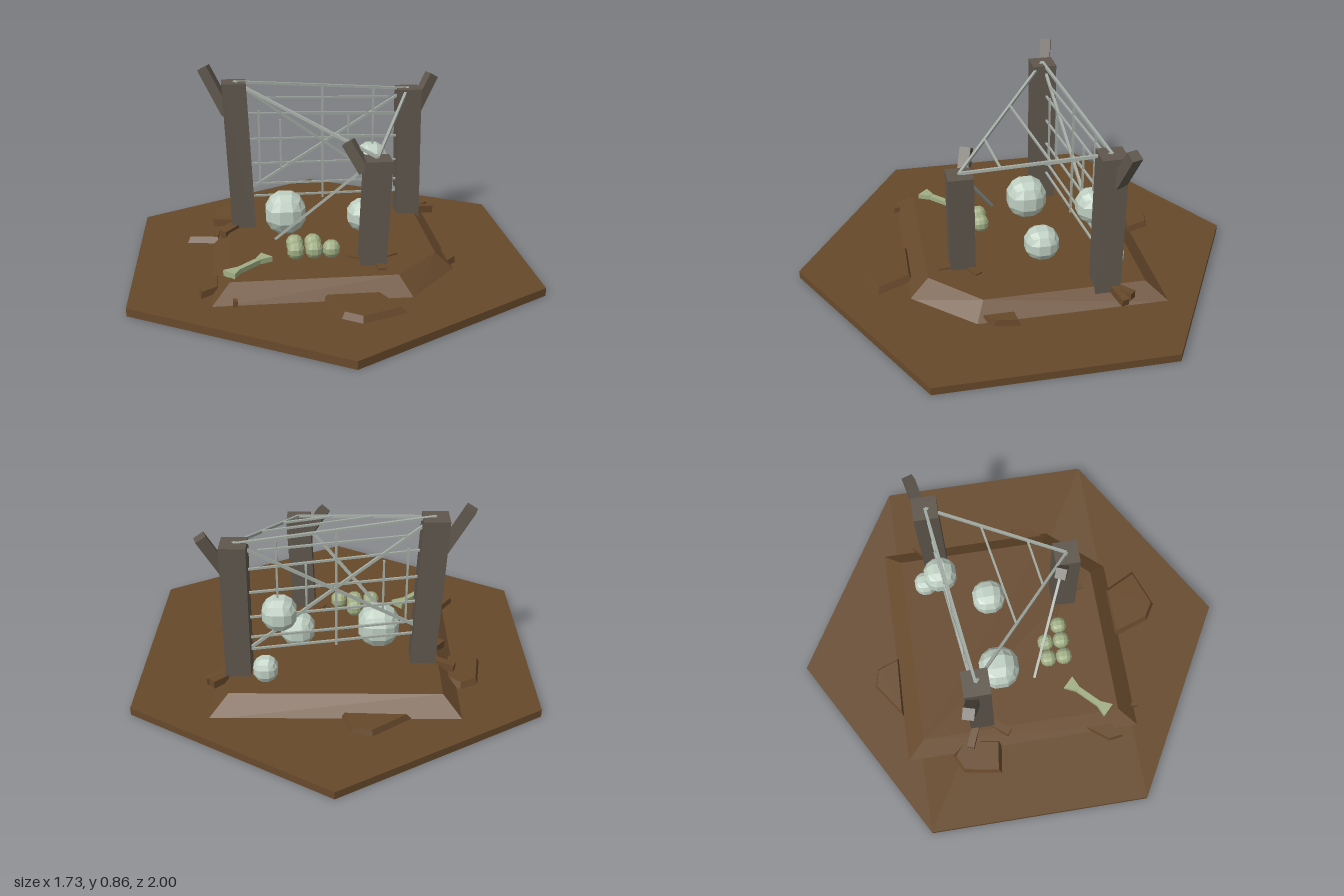
import * as THREE from 'three';
import { ConvexGeometry } from 'three/addons/geometries/ConvexGeometry.js';

const mat = (name, color) => {
  const m = new THREE.MeshStandardMaterial({ color });
  m.name = name;
  return m;
};
const V = (x, y, z) => new THREE.Vector3(x, y, z);

export function createModel() {
  const root = new THREE.Group();
  root.name = 'webbedNest';
  const soil = mat('soil brown', 0x67492b);
  const bark = mat('grey bark', 0x5f574d);
  const silk = mat('silk grey', 0xa3aca4);
  const shell = mat('pale egg', 0xbfcfc2);
  const moss = mat('pale green', 0xa0ae84);

  const add = (name, geo, material, parent = root) => {
    const m = new THREE.Mesh(geo, material);
    m.name = name;
    parent.add(m);
    return m;
  };
  const group = (name) => {
    const g = new THREE.Group();
    g.name = name;
    root.add(g);
    return g;
  };
  // Solid between a lower and an upper convex outline of [x, z] points
  const slab = (name, low, high, y0, y1, material, parent) =>
    add(name, new ConvexGeometry([
      ...low.map(([x, z]) => V(x, y0, z)),
      ...high.map(([x, z]) => V(x, y1, z)),
    ]), material, parent);
  // Square bar between two points
  const bar = (name, a, b, w, material, parent) => {
    const m = add(name, new THREE.BoxGeometry(w, w, a.distanceTo(b)), material, parent);
    m.position.copy(a).add(b).multiplyScalar(0.5);
    m.lookAt(b);
    return m;
  };

  // Ground plate and raised mound
  const hex = [...Array(6)].map((_, i) => [Math.sin(i * Math.PI / 3), Math.cos(i * Math.PI / 3)]);
  slab('groundPlate', hex, hex, 0, 0.035, soil);
  slab('mound',
    [[-0.53, -0.57], [0.53, -0.57], [0.53, 0.27], [0.3, 0.53], [-0.53, 0.53]],
    [[-0.45, -0.48], [0.45, -0.48], [0.45, 0.23], [0.25, 0.44], [-0.45, 0.44]],
    0.03, 0.1, soil);

  // Flat clods of earth around the mound
  const clods = group('clods');
  [
    [[-0.08, 0.5], [0.17, 0.5], [0.25, 0.66], [0.06, 0.73], [-0.02, 0.68]],
    [[-0.32, -0.56], [-0.15, -0.68], [-0.06, -0.66], [-0.02, -0.55]],
    [[-0.65, -0.14], [-0.62, -0.32], [-0.54, -0.36], [-0.47, -0.3], [-0.5, -0.12]],
    [[-0.58, 0.38], [-0.57, 0.45], [-0.5, 0.4], [-0.5, 0.27]],
    [[0.5, 0.1], [0.57, 0.09], [0.55, 0.2], [0.5, 0.25]],
    [[-0.44, 0.51], [-0.42, 0.51], [-0.42, 0.54], [-0.44, 0.54]],
  ].forEach((p) => {
    const cx = p.reduce((s, q) => s + q[0], 0) / p.length;
    const cz = p.reduce((s, q) => s + q[1], 0) / p.length;
    const top = p.map(([x, z]) => [cx + (x - cx) * 0.85, cz + (z - cz) * 0.85]);
    slab('clod', p, top, 0.03, 0.062, soil, clods);
  });

  // Leaning posts, each with a broken branch
  const square = (x, z, r) => [[x - r, z - r], [x + r, z - r], [x + r, z + r], [x - r, z + r]];
  const posts = group('posts');
  [
    { low: [-0.38, -0.2], high: [-0.41, -0.205], y: 0.79, from: [-0.44, 0.64, -0.22], to: [-0.545, 0.85, -0.25] },
    { low: [0.42, -0.305], high: [0.415, -0.31], y: 0.72, from: [0.45, 0.6, -0.33], to: [0.54, 0.77, -0.36] },
    { low: [0.16, 0.28], high: [0.18, 0.28], y: 0.56, from: [0.13, 0.5, 0.26], to: [0.06, 0.62, 0.23] },
  ].forEach((p) => {
    slab('post', square(...p.low, 0.055), square(...p.high, 0.055), 0.075, p.y, bark, posts);
    bar('branch', V(...p.from), V(...p.to), 0.048, bark, posts);
  });

  // Roots spreading from the feet of the posts
  const roots = group('roots');
  [
    [[-0.4, 0.1, -0.22], [-0.52, 0.09, -0.27]],
    [[-0.4, 0.1, -0.18], [-0.48, 0.095, -0.08]],
    [[0.42, 0.1, -0.32], [0.56, 0.08, -0.36]],
    [[0.42, 0.09, -0.3], [0.53, 0.09, -0.4]],
    [[0.18, 0.09, 0.28], [0.19, 0.09, 0.39]],
    [[0.16, 0.09, 0.28], [0.27, 0.09, 0.22]],
    [[0.16, 0.09, 0.28], [0.06, 0.09, 0.22]],
  ].forEach(([a, b]) => bar('root', V(...a), V(...b), 0.034, soil, roots));

  // Silk strands: upright orb web between the two rear posts
  const web = group('web');
  const strand = (a, b, w = 0.009) => bar('strand', a, b, w, silk, web);
  const onWeb = (x, y) => V(x, y, -0.205 - 0.127 * (x + 0.41));
  const webLine = (x0, y0, x1, y1, w) => strand(onWeb(x0, y0), onWeb(x1, y1), w);
  webLine(-0.41, 0.79, 0.415, 0.715, 0.012);
  webLine(-0.41, 0.79, 0.37, 0.21, 0.012);
  webLine(0.415, 0.715, -0.35, 0.27, 0.012);
  webLine(0, 0.755, 0, 0.2, 0.01);
  [[0.3, 0.71, 0.68], [0.35, 0.64, 0.595], [0.35, 0.515, 0.485],
    [0.35, 0.395, 0.365], [0.35, 0.295, 0.265], [0.35, 0.235, 0.205],
  ].forEach(([h, l, r]) => webLine(-h, l, h + 0.02, r));
  [[-0.3, 0.3, 0.65], [-0.2, 0.36, 0.6], [0.125, 0.4, 0.6], [0.245, 0.3, 0.73]]
    .forEach(([x, a, b]) => webLine(x, a, x, b));

  // Strands running forward to the short post, with rungs between them
  const topL = V(-0.41, 0.79, -0.205);
  const topR = V(0.415, 0.718, -0.31);
  const topF = V(0.18, 0.563, 0.28);
  strand(topL, topF, 0.012);
  strand(topR, topF, 0.012);
  [[0.42, 0.39], [0.72, 0.72]].forEach(([s, t]) =>
    strand(topL.clone().lerp(topF, s), topR.clone().lerp(topF, t)));
  strand(topF, V(-0.245, 0.13, 0.075), 0.012);

  // Faceted eggs: a subdivided cube pushed out to a sphere
  const egg = (name, x, y, z, r, h, material) => {
    const g = new THREE.BoxGeometry(2, 2, 2, 3, 3, 3);
    const p = g.attributes.position;
    const v = V(0, 0, 0);
    for (let i = 0; i < p.count; i++) {
      v.fromBufferAttribute(p, i).normalize();
      p.setXYZ(i, v.x * r, v.y * h, v.z * r);
    }
    const flat = g.toNonIndexed();
    flat.computeVertexNormals();
    add(name, flat, material).position.set(x, y, z);
  };
  egg('largeEgg', -0.19, 0.195, -0.085, 0.1, 0.105, shell);
  egg('middleEgg', 0.175, 0.17, -0.08, 0.083, 0.08, shell);
  egg('hangingEgg', 0.24, 0.38, -0.29, 0.08, 0.082, shell);
  egg('smallEgg', 0.3, 0.15, -0.37, 0.057, 0.062, shell);
  [[-0.165, 0.23], [-0.085, 0.23], [-0.01, 0.23], [-0.165, 0.155], [-0.085, 0.155]]
    .forEach(([x, z]) => egg('greenEgg', x, 0.138, z, 0.04, 0.042, moss));

  // Bone lying on the mound: slim shaft with flared ends
  const bone = group('bone');
  bone.position.set(-0.372, 0.11, 0.31);
  bone.rotation.y = Math.PI / 4;
  add('boneShaft', new THREE.BoxGeometry(0.17, 0.022, 0.026), moss, bone);
  for (const s of [-1, 1]) {
    slab('boneEnd',
      [[s * 0.06, -0.013], [s * 0.06, 0.013], [s * 0.115, 0.034], [s * 0.115, -0.034]],
      [[s * 0.06, -0.013], [s * 0.06, 0.013], [s * 0.115, 0.034], [s * 0.115, -0.034]],
      -0.013, 0.013, moss, bone);
  }
  return root;
}
